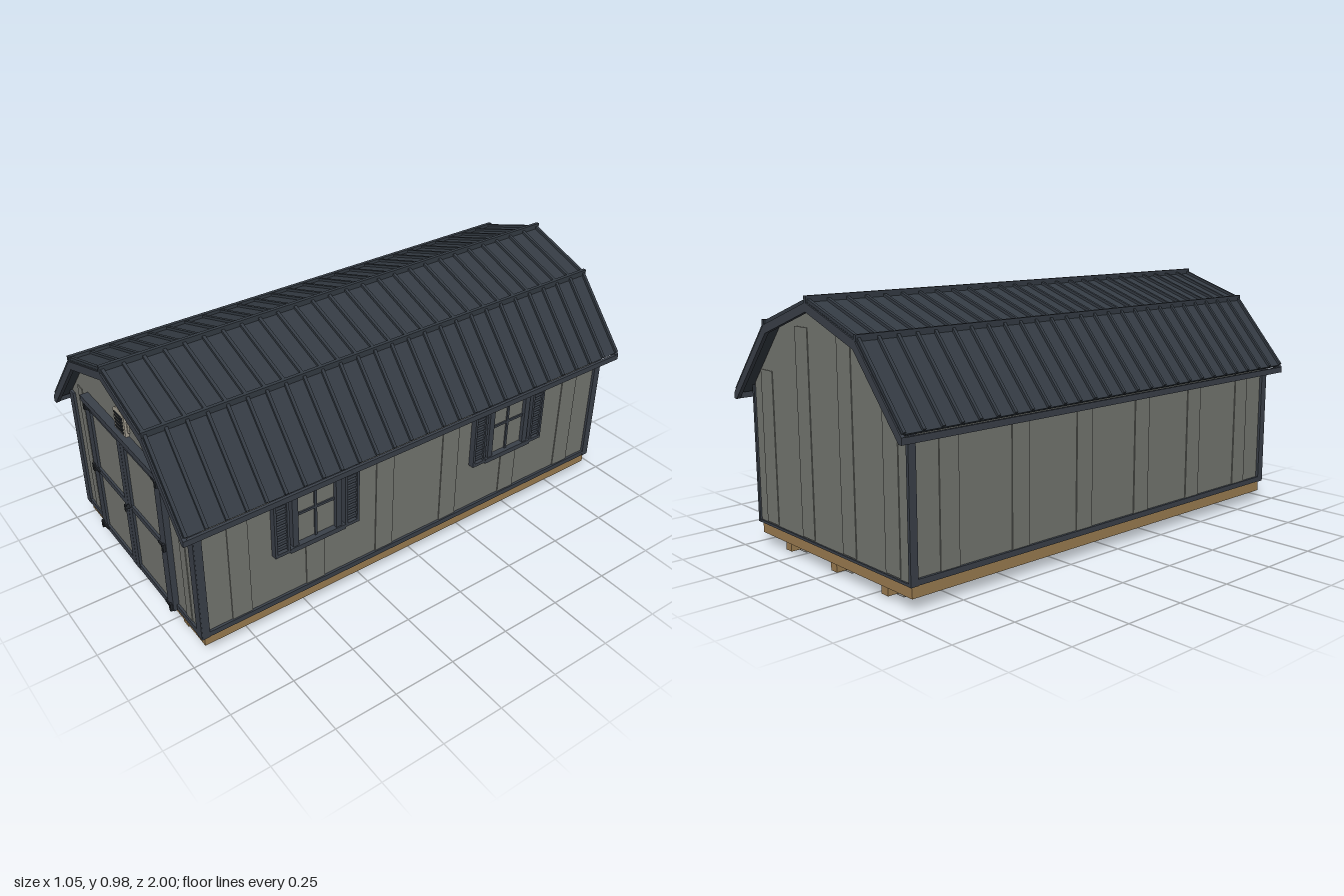
import * as THREE from 'three';

const mat = (name, color, side = THREE.FrontSide) => {
  const m = new THREE.MeshStandardMaterial({ color, side });
  m.name = name;
  return m;
};

export function createModel() {
  const root = new THREE.Group();
  root.name = 'gambrelShed';
  const siding = mat('sidingGrey', 0x747670);
  const trim = mat('trimSlate', 0x3a4049);
  const metal = mat('roofSlate', 0x343b43);
  const wood = mat('timber', 0x9b7c50);
  const concrete = mat('concrete', 0x9a9892);
  const beige = mat('ventBeige', 0xa8a294);
  const black = mat('hardwareBlack', 0x22262b);

  const group = (name, parent = root) => {
    const g = new THREE.Group();
    g.name = name;
    parent.add(g);
    return g;
  };
  const add = (name, geo, material, parent = root) => {
    const m = new THREE.Mesh(geo, material);
    m.name = name;
    parent.add(m);
    return m;
  };
  // Box given by its lower and upper limits
  const box = (name, material, x0, x1, y0, y1, z0, z1, parent = root) => {
    const m = add(name, new THREE.BoxGeometry(x1 - x0, y1 - y0, z1 - z0), material, parent);
    m.position.set((x0 + x1) / 2, (y0 + y1) / 2, (z0 + z1) / 2);
    return m;
  };
  // Right half of a profile, from the ridge down, mirrored to a full outline
  const mirrored = (pts) => [...pts.slice(1).reverse().map(([x, y]) => [-x, y]), ...pts];
  const extrude = (pts, z0, z1) => {
    const shape = new THREE.Shape(pts.map((p) => new THREE.Vector2(...p)));
    const g = new THREE.ExtrudeGeometry(shape, { depth: z1 - z0, bevelEnabled: false });
    return g.translate(0, 0, z0);
  };
  const band = (outer, inner, z0, z1) =>
    extrude([...mirrored(outer), ...mirrored(inner).reverse()], z0, z1);

  // Skids, blocks and floor frame
  const base = group('foundation');
  box('floorFrame', wood, -0.47, 0.47, 0.043, 0.088, -0.935, 0.935, base);
  for (const x of [-0.305, 0, 0.305]) {
    box('skid', wood, x - 0.018, x + 0.018, 0.008, 0.043, -0.925, 0.925, base);
    for (const z of [-0.83, 0, 0.83])
      box('concreteBlock', concrete, x - 0.044, x + 0.044, 0, 0.027, z - 0.05, z + 0.05, base);
  }

  // Walls with slightly raised siding boards
  const walls = group('walls');
  add('wallBody', extrude([[-0.47, 0.086], [0.47, 0.086],
    ...mirrored([[0, 0.948], [0.28, 0.848], [0.47, 0.63]]).reverse()], -0.94, 0.94), siding, walls);
  for (let i = 0; i < 6; i++) {
    const z = -0.78 + i * 0.312;
    for (const s of [-1, 1])
      box('sideSidingBoard', siding, s * 0.471 - 0.003, s * 0.471 + 0.003, 0.1, 0.62, z - 0.04, z + 0.04, walls);
  }
  for (const x of [-0.38, -0.13, 0.13, 0.38]) {
    const top = Math.abs(x) > 0.3 ? 0.68 : 0.86;
    box('backSidingBoard', siding, x - 0.04, x + 0.04, 0.1, top, -0.943, -0.938, walls);
    if (top < 0.8) box('frontSidingBoard', siding, x - 0.02, x + 0.02, 0.1, top, 0.938, 0.943, walls);
  }

  // Corner boards and skirting
  const trims = group('wallTrim');
  for (const s of [-1, 1]) {
    const cx = s * 0.475;
    box('frontCornerBoard', trim, Math.min(s * 0.443, s * 0.48), Math.max(s * 0.443, s * 0.48),
      0.086, 0.62, 0.935, 0.95, trims);
    for (const z of [-0.932, 0.932])
      box('sideCornerBoard', trim, cx - 0.006, cx + 0.006, 0.086, 0.615, z - 0.015, z + 0.015, trims);
    box('sideSkirtBoard', trim, cx - 0.005, cx + 0.005, 0.087, 0.108, -0.93, 0.93, trims);
  }
  box('frontSkirtBoard', trim, -0.45, 0.45, 0.086, 0.11, 0.935, 0.949, trims);
  box('backSkirtBoard', trim, -0.475, 0.475, 0.086, 0.096, -0.946, -0.935, trims);

  // Gambrel roof: deck, rake boards, ribs and caps
  const roof = group('roof');
  const line = [[0, 0.96], [0.285, 0.862], [0.517, 0.595]];
  add('roofDeck', band(line, [[0, 0.942], [0.277, 0.845], [0.502, 0.586]], -0.995, 0.995), metal, roof);
  const rakeOuter = [[0, 0.957], [0.284, 0.858], [0.521, 0.587]];
  const rakeInner = [[0, 0.925], [0.273, 0.829], [0.506, 0.563]];
  for (const z of [-1, 0.985])
    add('rakeBoard', band(rakeOuter, rakeInner, z, z + 0.015), trim, roof);
  for (const s of [-1, 1]) {
    for (let k = 0; k < 2; k++) {
      const [[x0, y0], [x1, y1]] = [line[k], line[k + 1]];
      const geo = new THREE.BoxGeometry(Math.hypot(x1 - x0, y1 - y0), 0.016, 0.012);
      for (let i = 0; i <= 26; i++) {
        const rib = add('roofRib', geo, metal, roof);
        rib.position.set(s * (x0 + x1) / 2, (y0 + y1) / 2 + 0.002, -0.988 + i * 0.076);
        rib.rotation.z = s * Math.atan2(y1 - y0, x1 - x0);
      }
    }
    box('kneeCap', metal, s * 0.286 - 0.007, s * 0.286 + 0.007, 0.855, 0.877, -1, 1, roof);
    box('eaveFascia', trim, s * 0.515 - 0.006, s * 0.515 + 0.006, 0.563, 0.586, -1, 1, roof);
  }
  box('ridgeCap', metal, -0.007, 0.007, 0.952, 0.979, -1, 1, roof);

  // Double door
  const doors = group('doubleDoor');
  box('doorHeader', trim, -0.306, 0.306, 0.672, 0.695, 0.94, 0.972, doors);
  for (const s of [-1, 1]) {
    const d = group(s > 0 ? 'leftDoor' : 'rightDoor', doors);
    const part = (name, m, a, b, y0, y1, z0, z1) =>
      box(name, m, Math.min(s * a, s * b), Math.max(s * a, s * b), y0, y1, z0, z1, d);
    part('doorPanel', siding, 0.005, 0.295, 0.09, 0.67, 0.938, 0.953);
    part('outerStile', trim, 0.254, 0.297, 0.085, 0.672, 0.94, 0.963);
    part('meetingStile', trim, 0.001, 0.029, 0.085, 0.672, 0.94, 0.963);
    for (const [y0, y1] of [[0.086, 0.11], [0.367, 0.39], [0.645, 0.672]])
      part('doorRail', trim, 0.02, 0.27, y0, y1, 0.94, 0.962);
    for (const y of [0.1, 0.379, 0.657]) {
      part('hingePlate', black, 0.279, 0.291, y - 0.016, y + 0.016, 0.96, 0.972);
      const strap = new THREE.Shape([[0.28, 0.008], [0.28, -0.008], [0.243, -0.003], [0.243, 0.003]]
        .map(([x, v]) => new THREE.Vector2(s * x, y + v)));
      add('hingeStrap', new THREE.ExtrudeGeometry(strap, { depth: 0.006, bevelEnabled: false }), black, d)
        .position.z = 0.962;
    }
  }
  const knob = add('doorHandle', new THREE.CylinderGeometry(0.008, 0.008, 0.018, 12), black, doors);
  knob.rotation.x = Math.PI / 2;
  knob.position.set(0.008, 0.377, 0.971);
  box('handleLever', black, 0.004, 0.012, 0.362, 0.392, 0.974, 0.981, doors);

  // Arched gable vent
  const vent = group('gableVent');
  const arch = new THREE.Shape();
  arch.moveTo(-0.043, 0.697);
  arch.lineTo(0.043, 0.697);
  arch.lineTo(0.043, 0.777);
  arch.quadraticCurveTo(0, 0.812, -0.043, 0.777);
  const ventGeo = new THREE.ExtrudeGeometry(arch, { depth: 0.016, bevelEnabled: false });
  add('ventFrame', ventGeo, beige, vent).position.z = 0.938;
  box('ventFlange', beige, -0.05, 0.05, 0.714, 0.762, 0.938, 0.946, vent);
  for (let i = 0; i < 5; i++) {
    const y = 0.708 + i * 0.0145;
    box('ventSlot', black, -0.031, 0.031, y - 0.0045, y + 0.0045, 0.952, 0.956, vent);
  }

  // Two shuttered windows on the left wall
  for (const zc of [0.468, -0.44]) {
    const w = group('window');
    const part = (name, m, x1, y0, y1, z0, z1) => box(name, m, 0.468, x1, y0, y1, zc + z0, zc + z1, w);
    part('windowPane', siding, 0.476, 0.33, 0.575, -0.085, 0.085);
    part('windowSill', trim, 0.497, 0.308, 0.328, -0.118, 0.118);
    part('windowHead', trim, 0.492, 0.565, 0.6, -0.105, 0.105);
    part('uprightBar', trim, 0.482, 0.325, 0.57, -0.005, 0.005);
    part('crossBar', trim, 0.482, 0.45, 0.46, -0.085, 0.085);
    for (const s of [-1, 1]) {
      part('windowCasing', trim, 0.492, 0.318, 0.59, s * 0.092 - 0.012, s * 0.092 + 0.012);
      const c = s * 0.149;
      for (const e of [-0.026, 0.026])
        part('shutterStile', trim, 0.495, 0.313, 0.6, c + e - 0.005, c + e + 0.005);
      for (const y of [0.32, 0.592])
        part('shutterRail', trim, 0.495, y - 0.007, y + 0.007, c - 0.03, c + 0.03);
      for (let i = 0; i < 11; i++) {
        const y = 0.342 + i * 0.0228;
        part('shutterSlat', trim, 0.489, y - 0.0065, y + 0.0065, c - 0.024, c + 0.024);
      }
    }
  }
  return root;
}
